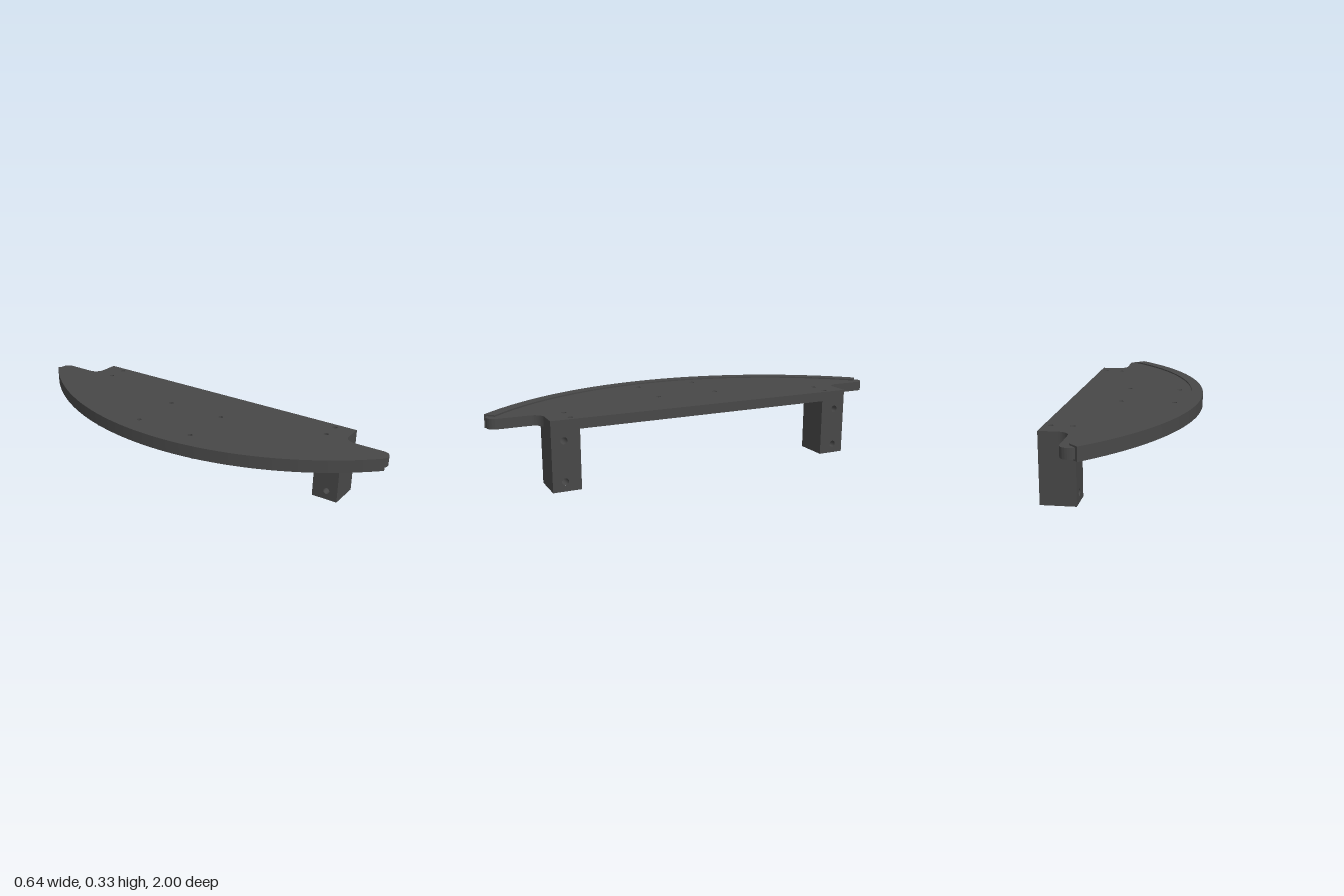
import * as THREE from 'three';
import { toCreasedNormals } from 'three/addons/utils/BufferGeometryUtils.js';

const PI = Math.PI;
const dark = new THREE.MeshStandardMaterial({ color: 0x484848 });
const darkThin = new THREE.MeshStandardMaterial({ color: 0x484848, side: THREE.DoubleSide });
const ARC_X = 1.08, ARC_R = 1.4, RIM_W = 0.055;   // shared arc of board and rim
const PLATE_X = -0.064;
const BOARD_Y = 0.276;                            // underside of the board

function add(parent, name, geometry, material = dark) {
  const mesh = new THREE.Mesh(geometry, material);
  mesh.name = name;
  parent.add(mesh);
}

// Plan outline (x, z) extruded between two heights
function slab(shape, bottom, top, curveSegments) {
  const g = new THREE.ExtrudeGeometry(shape, { depth: top - bottom, bevelEnabled: false, curveSegments });
  g.rotateX(PI / 2).translate(0, top, 0);
  return toCreasedNormals(g, 0.6);
}

function roundHole(shape, x, y, r) {
  shape.holes.push(new THREE.Path().absarc(x, y, r, 0, 2 * PI, true));
}

function rectangle(x0, y0, x1, y1) {
  return new THREE.Shape([[x0, y0], [x1, y0], [x1, y1], [x0, y1]].map(p => new THREE.Vector2(...p)));
}

// Calls fn for the four sign combinations
function corners(fn) {
  for (const sx of [-1, 1]) for (const sz of [-1, 1]) fn(sx, sz);
}

function boardShape() {
  const s = new THREE.Shape();
  s.moveTo(0.318, -0.766);
  s.lineTo(0.318, 0.766);
  s.lineTo(0.231, 0.766);
  s.absarc(0.231, 0.819, 0.053, -PI / 2, -PI, true);
  s.absarc(0.138, 0.96, 0.04, 0, 0.75 * PI, false);
  s.absarc(ARC_X, 0, ARC_R - 0.02, PI - 0.78, PI + 0.78, false);
  s.absarc(0.138, -0.96, 0.04, -0.75 * PI, 0, false);
  s.absarc(0.231, -0.819, 0.053, PI, PI / 2, true);
  s.closePath();
  corners((sx, sz) => {
    roundHole(s, PLATE_X + sx * 0.13, sz * 0.154, 0.012);   // plate bolts
    roundHole(s, 0.238 + sx * 0.047, sz * 0.667, 0.012);    // leg screws
  });
  return s;
}

function rimShape() {
  const a = Math.atan2(1, 0.98);
  const s = new THREE.Shape();
  s.absarc(ARC_X, 0, ARC_R, PI - a, PI + a, false);
  s.absarc(ARC_X, 0, ARC_R - RIM_W, PI + a, PI - a, true);
  s.closePath();
  return s;
}

// Rectangular plate with four slots lying across its diagonals
function plateShape() {
  const s = rectangle(-0.247, -0.211, 0.12, 0.211);
  corners((sx, sz) => {
    const cx = PLATE_X + sx * 0.13, cz = sz * 0.154, r = 0.013, d = 0.012;
    const t = Math.atan2(-sz, sx);
    const slot = new THREE.Path();
    slot.absarc(cx + d * sx, cz - d * sz, r, t - PI / 2, t + PI / 2, false);
    slot.absarc(cx - d * sx, cz + d * sz, r, t + PI / 2, t + 1.5 * PI, false);
    slot.closePath();
    s.holes.push(slot);
  });
  return s;
}

// Drilled block: two through holes along x, blind holes from top and bottom
function makeLeg(side) {
  const leg = new THREE.Group();
  leg.name = side > 0 ? 'frontLeg' : 'backLeg';
  const x0 = 0.158, x1 = 0.318, h = BOARD_Y, z0 = 0.635, z1 = 0.766;
  const za = side > 0 ? z0 : -z1, zb = side > 0 ? z1 : -z0;
  const boltZ = side * 0.709, screwZ = side * 0.667;
  const boltY = [0.045, 0.23], screwX = [0.191, 0.285];

  const face = shape => new THREE.ShapeGeometry(shape, 16);
  const endShape = flip => {
    const s = rectangle(flip * (flip > 0 ? za : zb), 0, flip * (flip > 0 ? zb : za), h);
    boltY.forEach(y => roundHole(s, flip * boltZ, y, 0.016));
    return s;
  };
  add(leg, 'legOuterFace', face(endShape(-1)).rotateY(PI / 2).translate(x1, 0, 0));
  add(leg, 'legInnerFace', face(endShape(1)).rotateY(-PI / 2).translate(x0, 0, 0));

  const bottom = rectangle(x0, za, x1, zb);
  screwX.forEach(x => roundHole(bottom, x, screwZ, 0.012));
  add(leg, 'legBottom', face(bottom).rotateX(PI / 2));
  const top = rectangle(x0, -zb, x1, -za);
  screwX.forEach(x => roundHole(top, x, -screwZ, 0.012));
  add(leg, 'legTop', face(top).rotateX(-PI / 2).translate(0, h, 0));

  add(leg, 'legFrontFace', face(rectangle(x0, 0, x1, h)).translate(0, 0, zb));
  add(leg, 'legBackFace', face(rectangle(-x1, 0, -x0, h)).rotateY(PI).translate(0, 0, za));

  for (const y of boltY) {
    const tube = new THREE.CylinderGeometry(0.016, 0.016, x1 - x0, 16, 1, true);
    add(leg, 'boltHole', tube.rotateZ(PI / 2).translate((x0 + x1) / 2, y, boltZ), darkThin);
  }
  for (const x of screwX) for (const [lo, hi, floor] of [[0, 0.09, 0.09], [0.18, h, 0.18]]) {
    const tube = new THREE.CylinderGeometry(0.012, 0.012, hi - lo, 16, 1, true);
    add(leg, 'screwHole', tube.translate(x, (lo + hi) / 2, screwZ), darkThin);
    add(leg, 'screwHoleEnd', new THREE.CircleGeometry(0.012, 16).rotateX(-PI / 2).translate(x, floor, screwZ), darkThin);
  }
  return leg;
}

export function createModel() {
  const model = new THREE.Group();
  model.name = 'curvedShelf';

  add(model, 'board', slab(boardShape(), BOARD_Y, 0.323, 32));
  add(model, 'rim', slab(rimShape(), 0.269, 0.33, 48));
  add(model, 'mountingPlate', slab(plateShape(), 0.235, BOARD_Y, 12));

  // Shallow rounded cup under the plate
  const profile = [[0, 0.203], [0.04, 0.203], [0.05, 0.205], [0.058, 0.211],
    [0.064, 0.222], [0.069, 0.231], [0.077, 0.235]].map(p => new THREE.Vector2(...p));
  add(model, 'cup', new THREE.LatheGeometry(profile, 40).translate(PLATE_X, 0, 0), darkThin);

  for (const side of [1, -1]) model.add(makeLeg(side));
  return model;
}
